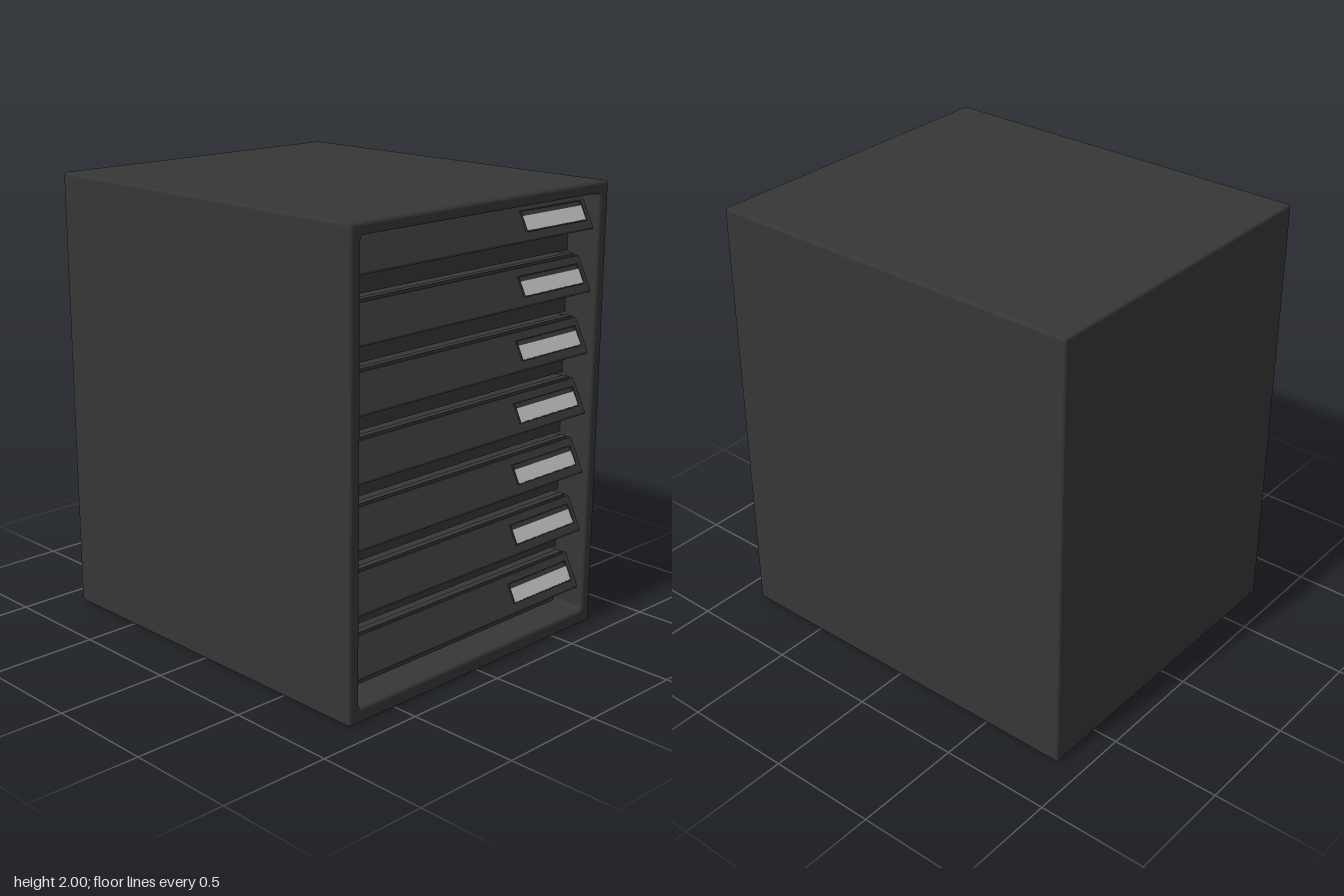
import * as THREE from 'three';

const W = 1.52, H = 2, D = 1.78, FRONT = D / 2, BEVEL = 0.012;

// Rounded rectangle outline, usable as a shape or a hole
function roundedRect(target, x0, y0, x1, y1, r) {
  target.moveTo(x0 + r, y0);
  target.lineTo(x1 - r, y0);
  target.quadraticCurveTo(x1, y0, x1, y0 + r);
  target.lineTo(x1, y1 - r);
  target.quadraticCurveTo(x1, y1, x1 - r, y1);
  target.lineTo(x0 + r, y1);
  target.quadraticCurveTo(x0, y1, x0, y1 - r);
  target.lineTo(x0, y0 + r);
  target.quadraticCurveTo(x0, y0, x0 + r, y0);
  return target;
}

export function createModel() {
  const charcoal = new THREE.MeshStandardMaterial({ color: 0x363636 });
  charcoal.name = 'charcoal plastic';
  const paper = new THREE.MeshStandardMaterial({ color: 0xc0c0c0 });
  paper.name = 'label grey';

  const root = new THREE.Group();
  root.name = 'drawerCabinet';

  function add(parent, name, geometry, material, x = 0, y = 0, z = 0) {
    const mesh = new THREE.Mesh(geometry, material);
    mesh.name = name;
    mesh.position.set(x, y, z);
    parent.add(mesh);
    return mesh;
  }
  const box = (w, h, d) => new THREE.BoxGeometry(w, h, d);

  // Casing: a bevelled tube with a rectangular opening, closed by a back panel
  const outline = roundedRect(new THREE.Shape(), -W / 2, 0, W / 2, H, 0.015);
  outline.holes.push(roundedRect(new THREE.Path(), -0.705, 0.065, 0.705, 1.95, 0.018));
  const casing = new THREE.ExtrudeGeometry(outline, {
    depth: D - 2 * BEVEL, bevelEnabled: true, bevelThickness: BEVEL,
    bevelSize: BEVEL, bevelOffset: -BEVEL, bevelSegments: 3, curveSegments: 4,
  });
  add(root, 'casing', casing, charcoal, 0, 0, -FRONT + BEVEL);
  add(root, 'backPanel', box(1.434, 1.909, 0.04), charcoal, 0, 1.0075, -FRONT + 0.02);

  // Drawer side profile (z, y): slanted front above a recessed finger gap
  const zTop = FRONT - 0.1, zLip = FRONT - 0.03, zGap = FRONT - 0.16;
  const profile = new THREE.Shape([
    [-0.8, 0], [zTop, 0], [zLip, -0.138], [zLip, -0.147],
    [zGap, -0.147], [zGap, -0.255], [-0.8, -0.255],
  ].map(([z, y]) => new THREE.Vector2(z, y)));
  const drawerGeometry = new THREE.ExtrudeGeometry(profile, { depth: 1.404, bevelEnabled: false });
  drawerGeometry.rotateY(-Math.PI / 2).translate(0.702, 0, 0);
  const slant = Math.atan2(zLip - zTop, 0.138);

  for (let i = 0; i < 7; i++) {
    const drawer = new THREE.Group();
    drawer.name = 'drawer' + (i + 1);
    drawer.position.y = 1.943 - i * 0.2715;
    root.add(drawer);
    add(drawer, 'drawerBody', drawerGeometry, charcoal);
    if (i > 0) add(drawer, 'topRidge', box(1.36, 0.014, 0.03), charcoal, 0, 0.005, zTop - 0.02);

    // Label and its thin holder lie on the slanted face
    const holder = new THREE.Group();
    holder.name = 'labelHolder';
    holder.position.set(0.478, -0.069, (zTop + zLip) / 2);
    holder.rotation.x = -slant;
    drawer.add(holder);
    add(holder, 'label', box(0.384, 0.064, 0.006), paper, 0, -0.009, 0.002);
    add(holder, 'holderTop', box(0.392, 0.005, 0.007), charcoal, 0, 0.043, 0.002);
    add(holder, 'holderBottom', box(0.392, 0.005, 0.009), charcoal, 0, -0.044, 0.002);
    for (const side of [-1, 1]) {
      add(holder, 'holderSide', box(0.005, 0.09, 0.009), charcoal, side * 0.194, 0, 0.002);
    }
  }
  return root;
}
